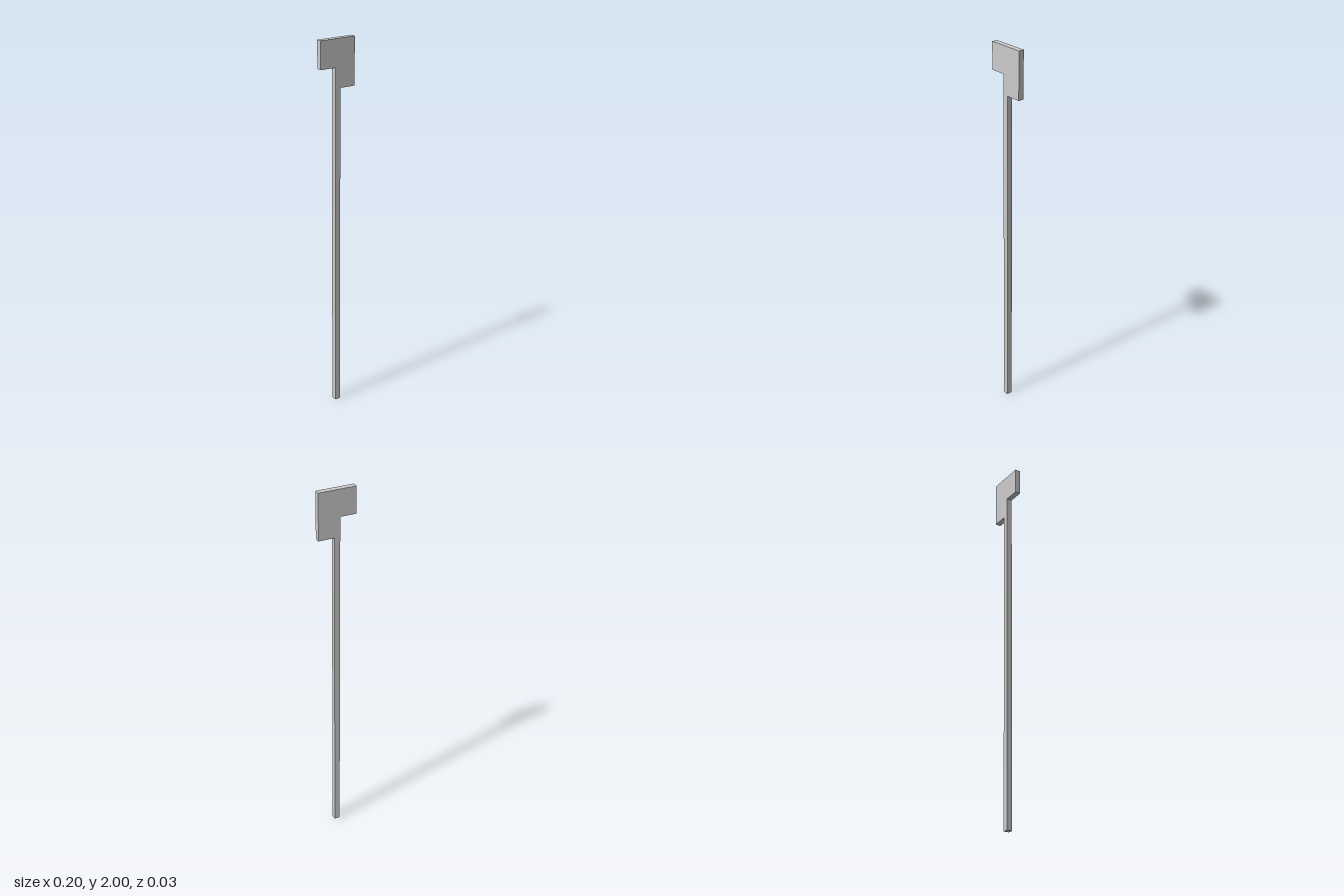
import * as THREE from 'three';

const DEPTH = 0.03;   // thickness of the whole piece
const HALF_SHAFT = 0.015;
const HALF_HEAD = 0.1;
const TOP = 2;
const SHORT_BIT = 1.857; // underside of the short bit (-x)
const LONG_BIT = 1.752;  // underside of the long bit (+x)

export function createModel() {
  const group = new THREE.Group();
  const material = new THREE.MeshStandardMaterial({ color: 0xcccccc, flatShading: true });

  // Shaft and stepped head cut from one flat bar, counter-clockwise from the foot
  const outline = new THREE.Shape([
    [-HALF_SHAFT, 0], [HALF_SHAFT, 0],
    [HALF_SHAFT, LONG_BIT], [HALF_HEAD, LONG_BIT],
    [HALF_HEAD, TOP], [-HALF_HEAD, TOP],
    [-HALF_HEAD, SHORT_BIT], [-HALF_SHAFT, SHORT_BIT],
  ].map(([x, y]) => new THREE.Vector2(x, y)));

  const geometry = new THREE.ExtrudeGeometry(outline, { depth: DEPTH, bevelEnabled: false });
  geometry.translate(0, 0, -DEPTH / 2);

  const bar = new THREE.Mesh(geometry, material);
  bar.name = 'shaftWithSteppedHead';
  group.add(bar);
  return group;
}
